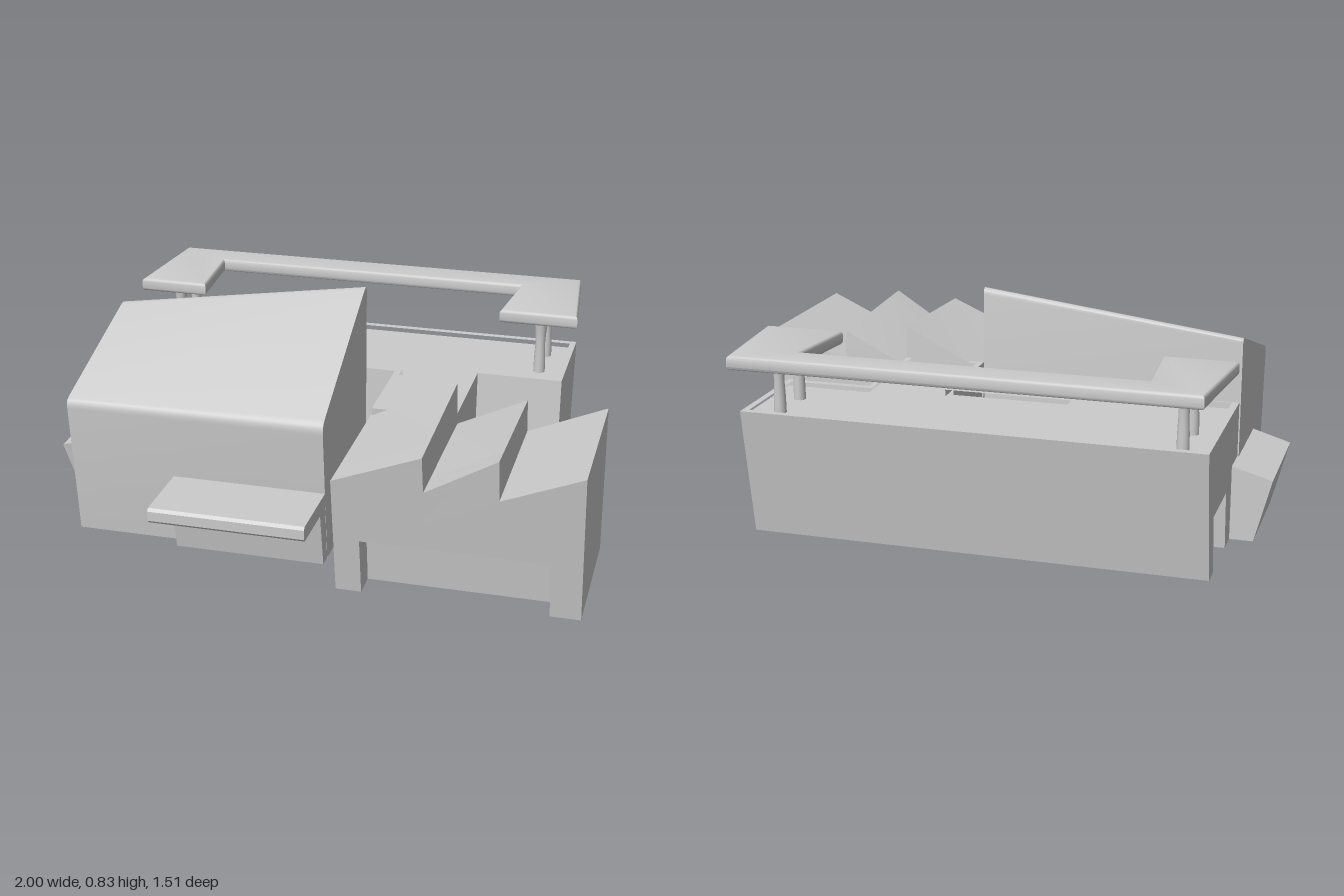
import * as THREE from 'three';
import { toCreasedNormals } from 'three/addons/utils/BufferGeometryUtils.js';

const material = new THREE.MeshStandardMaterial({ color: 0xcccccc });
const shapeOf = (pts) => new THREE.Shape(pts.map(([x, y]) => new THREE.Vector2(x, y)));
const lerp = THREE.MathUtils.lerp;

// Extrudes a shape by one unit and moves every vertex by rule(x, y, t) -> [x, y, z].
function prism(name, shape, rule) {
  const geo = new THREE.ExtrudeGeometry(shape, { depth: 1, bevelEnabled: false, curveSegments: 5 });
  const p = geo.attributes.position;
  for (let i = 0; i < p.count; i++) p.setXYZ(i, ...rule(p.getX(i), p.getY(i), p.getZ(i)));
  const mesh = new THREE.Mesh(toCreasedNormals(geo, 0.45), material);
  mesh.name = name;
  return mesh;
}

// Horizontal layer from a plan given as [x, z]; walls lean outwards with height.
function layer(name, plan, y0, y1, hole) {
  const flip = (pts) => pts.map(([x, z]) => [x, -z]);
  const shape = shapeOf(flip(plan));
  if (hole) shape.holes.push(shapeOf(flip(hole)));
  return prism(name, shape, (x, Y, t) => {
    const y = lerp(y0, y1, t), z = -Y;
    return [x, y, z + y * (0.34 * z + 0.015)];
  });
}

function mainBlock() {
  const g = new THREE.Group();
  g.name = 'mainBlock';
  const right = [[-0.855, -0.575], [0.785, -0.575], [0.785, -0.215], [0.47, -0.215],
    [0.47, 0.15], [0.165, 0.15], [0.165, -0.165], [-0.26, -0.165], [-0.26, -0.05], [-0.855, -0.05]];
  const doorway = [[-0.855, -0.27], [-0.74, -0.27], [-0.74, -0.5], [-0.855, -0.5]];
  const inner = [[-0.83, -0.553], [0.762, -0.553], [0.762, -0.237], [0.448, -0.237],
    [0.448, 0.132], [0.188, 0.132], [0.188, -0.187], [-0.283, -0.187], [-0.283, -0.07], [-0.83, -0.07]];
  g.add(layer('lowerWalls', [...right, ...doorway], 0, 0.21));
  g.add(layer('upperWalls', right, 0.21, 0.445));
  g.add(layer('parapet', right, 0.445, 0.47, inner));
  return g;
}

// Hall whose sloping roof climbs to the back and towards +x.
function tallHall() {
  const s = new THREE.Shape();
  s.moveTo(-0.1, 0);
  s.lineTo(0.46, 0);
  s.lineTo(0.513, 0.495);
  s.quadraticCurveTo(0.517, 0.528, 0.49, 0.545);
  s.lineTo(-0.065, 0.823);
  s.quadraticCurveTo(-0.1, 0.84, -0.1, 0.805);
  s.closePath();
  return prism('tallHall', s, (z, y, t) => [
    lerp(0.075, -0.86, t),
    y > 0.52 ? 0.52 + (y - 0.52) * lerp(1, 0.58, t) : y,
    z < 0.1 ? z + 0.035 * t : z,
  ]);
}

// Wing with a sawtooth roof; the front slice has a wide gateway recess.
function sawtoothWing() {
  const g = new THREE.Group();
  g.name = 'sawtoothWing';
  const roof = [[1, 0.555], [0.722, 0.435], [0.72, 0.57], [0.472, 0.435], [0.47, 0.58], [0.16, 0.44]];
  const gate = [[0.25, 0], [0.25, 0.21], [0.895, 0.21], [0.895, 0]];
  const slice = (name, floor, a, b) => prism(name, shapeOf([[0.16, 0], ...floor, [1, 0], ...roof]),
    (x, y, t) => {
      const u = lerp(a, b, t);
      const twist = y < 0.5 ? 0 : x < 0.5 ? 0.012 : x < 0.8 ? -0.015 : 0;
      return [x, y + twist * (1 - 2 * u), lerp(0.14 + 0.045 * y, 0.665 + 0.155 * y, u)];
    });
  g.add(slice('wingBody', [], 0, 0.82), slice('wingGateway', gate, 0.82, 1));
  return g;
}

// Raised U-shaped canopy with softened edges.
function canopy() {
  const g = new THREE.Group();
  g.name = 'canopy';
  const plan = [[-0.84, 0.748], [-0.878, 0.342], [-0.642, 0.342], [-0.664, 0.647],
    [0.572, 0.647], [0.542, 0.342], [0.808, 0.342], [0.768, 0.748]];
  const geo = new THREE.ExtrudeGeometry(shapeOf(plan), {
    depth: 0.026, bevelThickness: 0.012, bevelSize: 0.012, bevelSegments: 3,
  });
  geo.rotateX(-Math.PI / 2).translate(0, 0.657, 0);
  const slab = new THREE.Mesh(toCreasedNormals(geo, 0.6), material);
  slab.name = 'canopySlab';
  g.add(slab);

  // Waisted posts
  const profile = [[0.022, 0.44], [0.021, 0.5], [0.018, 0.56], [0.021, 0.61], [0.026, 0.65]]
    .map(([r, y]) => new THREE.Vector2(r, y));
  for (const x of [-0.75, 0.68]) for (const z of [-0.385, -0.555]) {
    const post = new THREE.Mesh(new THREE.LatheGeometry(profile, 12), material);
    post.position.set(x, 0, z);
    post.name = 'canopyPost';
    g.add(post);
  }
  return g;
}

function entrance() {
  const g = new THREE.Group();
  g.name = 'entrance';
  const s = shapeOf([[0.4, 0.21], [0.745, 0.21], [0.755, 0.22], [0.755, 0.255], [0.745, 0.265], [0.4, 0.265]]);
  g.add(prism('porchRoof', s, (z, y, t) => [lerp(0.075, -0.48, t), y, z]));
  const wall = shapeOf([[0.4, 0], [0.51, 0], [0.55, 0.21], [0.4, 0.21]]);
  g.add(prism('porchWall', wall, (z, y, t) => [lerp(0.074, -0.47, t), y, z]));
  return g;
}

// Low annex leaning out from the side wall.
function sideAnnex() {
  const s = shapeOf([[-0.94, 0], [-0.8, 0], [-0.8, 0.285], [-0.86, 0.27], [-1, 0.23]]);
  return prism('sideAnnex', s, (x, y, t) => [x, y, lerp(-0.18, 0.23 + 0.16 * y, t)]);
}

export function createModel() {
  const model = new THREE.Group();
  model.name = 'building';
  model.add(mainBlock(), tallHall(), sawtoothWing(), canopy(), entrance(), sideAnnex());
  return model;
}
